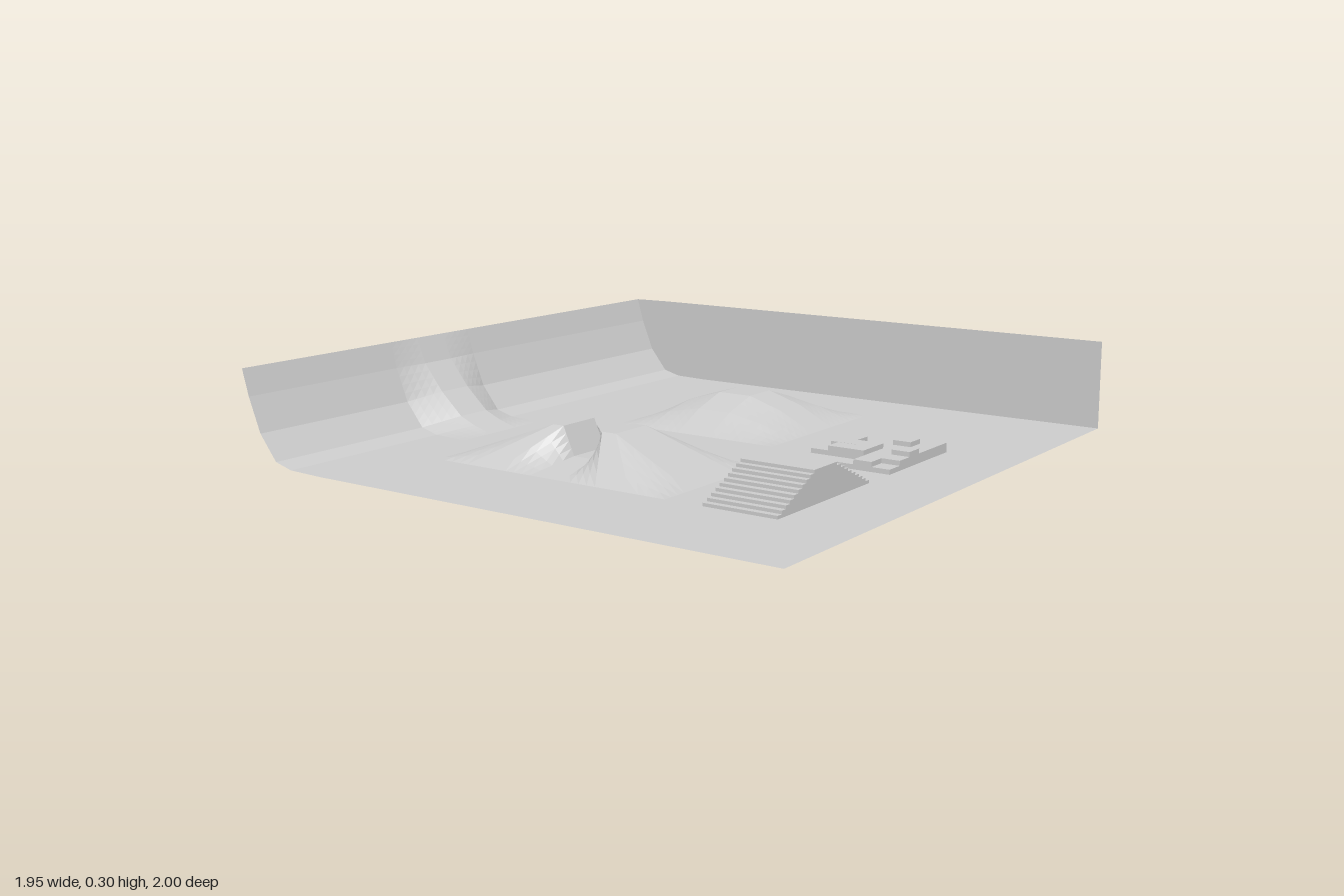
import * as THREE from 'three';

const material = new THREE.MeshStandardMaterial({ color: 0xcccccc, flatShading: true, side: THREE.DoubleSide });

function addMesh(group, name, geometry) {
  const mesh = new THREE.Mesh(geometry, material);
  mesh.name = name;
  group.add(mesh);
  return mesh;
}

// Flat quads, corners anticlockwise seen from outside
function quadGeometry(quads) {
  const positions = [];
  for (const [a, b, c, d] of quads) positions.push(...a, ...b, ...c, ...a, ...c, ...d);
  const geometry = new THREE.BufferGeometry();
  geometry.setAttribute('position', new THREE.Float32BufferAttribute(positions, 3));
  geometry.computeVertexNormals();
  return geometry;
}

// Sheet through a grid of points, rows running towards +z; each cell is a bilinear patch
function sheet(rows, n = 1) {
  const quads = [];
  const mix = (a, b, t) => a.map((v, k) => v + (b[k] - v) * t);
  for (let j = 0; j + 1 < rows.length; j++) {
    for (let i = 0; i + 1 < rows[j].length; i++) {
      const at = (u, v) => mix(
        mix(rows[j][i], rows[j][i + 1], u / n),
        mix(rows[j + 1][i], rows[j + 1][i + 1], u / n), v / n);
      for (let v = 0; v < n; v++) {
        for (let u = 0; u < n; u++) {
          quads.push([at(u, v), at(u, v + 1), at(u + 1, v + 1), at(u + 1, v)]);
        }
      }
    }
  }
  return quadGeometry(quads);
}

function polygon(points) {
  return new THREE.Shape(points.map(([x, y]) => new THREE.Vector2(x, y)));
}

function rectangle(x0, x1, z0, z1) {
  return [[x0, -z0], [x1, -z0], [x1, -z1], [x0, -z1]];
}

export function createModel() {
  const group = new THREE.Group();

  // Floor, open beneath the raised features
  const floor = polygon(rectangle(-0.65, 0.975, -1, 1));
  const openings = [
    [-0.4, 0.225, -0.75, -0.125],
    [-0.53, 0.345, 0.125, 0.625],
    [0.475, 0.72, 0.125, 0.625],
    [0.345, 0.72, -0.375, 0],
  ];
  for (const o of openings) floor.holes.push(polygon(rectangle(...o)));
  addMesh(group, 'floor', new THREE.ShapeGeometry(floor).rotateX(-Math.PI / 2));

  // Curved side wall with an inward bulge
  const plain = [[-0.975, 0.295], [-0.95, 0.21], [-0.905, 0.1], [-0.84, 0.02], [-0.775, 0.003], [-0.65, 0]];
  const bulged = [[-0.975, 0.295], [-0.94, 0.21], [-0.865, 0.12], [-0.78, 0.045], [-0.72, 0.02], [-0.65, 0]];
  const section = (profile, z) => profile.map(([x, y]) => [x, y, z]);
  addMesh(group, 'curvedWallBack', sheet([section(plain, -1), section(plain, 0)]));
  addMesh(group, 'curvedWallBulge', sheet([
    section(plain, 0), section(bulged, 0.125), section(bulged, 0.25), section(plain, 0.375),
  ], 4));
  addMesh(group, 'curvedWallFront', sheet([section(plain, 0.375), section(plain, 1)]));

  // Back wall following the curved wall's profile
  const backWall = new THREE.ShapeGeometry(polygon([...plain, [0.975, 0], [0.975, 0.297], [-0.83, 0.297]]));
  addMesh(group, 'backWall', backWall.translate(0, 0, -1));

  // Low rounded mound
  const rise = [0, 0.62, 1, 1, 0.62, 0];
  const mound = rise.map((rz, j) => rise.map((rx, i) =>
    [-0.4 + i * 0.125, 0.1 * rx * rz, -0.75 + j * 0.125]));
  addMesh(group, 'mound', sheet(mound, 4));

  // Twin peaks divided by a canyon
  const baseX = [-0.53, -0.405, -0.28, -0.155, -0.03, 0.095, 0.22, 0.345];
  const topX = [-0.53, -0.205, -0.165, -0.125, -0.05, -0.015, 0.037, 0.345];
  const topY = [0, 0.12, 0.12, 0.03, 0.03, 0.12, 0.12, 0];
  const edgeRow = (z) => baseX.map((x) => [x, 0, z]);
  const peakRow = (z, endZ) => topX.map((x, i) => [x, topY[i], i % 7 ? z : endZ]);
  addMesh(group, 'twinPeaks', sheet([
    edgeRow(0.125), peakRow(0.3, 0.25), peakRow(0.45, 0.5), edgeRow(0.625),
  ], 4));

  // Double staircase with a level landing
  const steps = 9, tread = 0.1875 / steps, riser = 0.1 / (steps + 1);
  const climb = [[0.125, 0]];
  for (let i = 0; i <= steps; i++) {
    climb.push([0.125 + i * tread, (i + 1) * riser]);
    if (i < steps) climb.push([0.125 + (i + 1) * tread, (i + 1) * riser]);
  }
  const stairs = [...climb, ...climb.slice().reverse().map(([z, y]) => [0.75 - z, y])];
  addMesh(group, 'stairSteps', sheet(stairs.map(([z, y]) => [[0.475, y, z], [0.72, y, z]])));
  for (const [name, x] of [['stairSideRight', 0.475], ['stairSideLeft', 0.72]]) {
    const side = new THREE.ShapeGeometry(polygon(stairs.map(([z, y]) => [-z, y])));
    addMesh(group, name, side.rotateY(Math.PI / 2).translate(x, 0, 0));
  }

  // Field of square blocks at three levels
  const levels = ['111222', '121232', '122222', '111323', '123322', '111121'];
  const size = 0.0625;
  const height = (i, j) => 0.0155 * Number(levels[j]?.[i] ?? 0);
  const blocks = [];
  for (let j = 0; j <= 6; j++) {
    for (let i = 0; i <= 6; i++) {
      const x = 0.345 + i * size, z = -0.375 + j * size, h = height(i, j);
      const x1 = x + size, z1 = z + size, left = height(i - 1, j), back = height(i, j - 1);
      if (i < 6 && j < 6) blocks.push([[x, h, z], [x, h, z1], [x1, h, z1], [x1, h, z]]);
      if (left !== h) blocks.push([[x, left, z], [x, h, z], [x, h, z1], [x, left, z1]].reverse());
      if (back !== h) blocks.push([[x, back, z], [x, h, z], [x1, h, z], [x1, back, z]]);
    }
  }
  addMesh(group, 'blockField', quadGeometry(blocks));

  return group;
}
